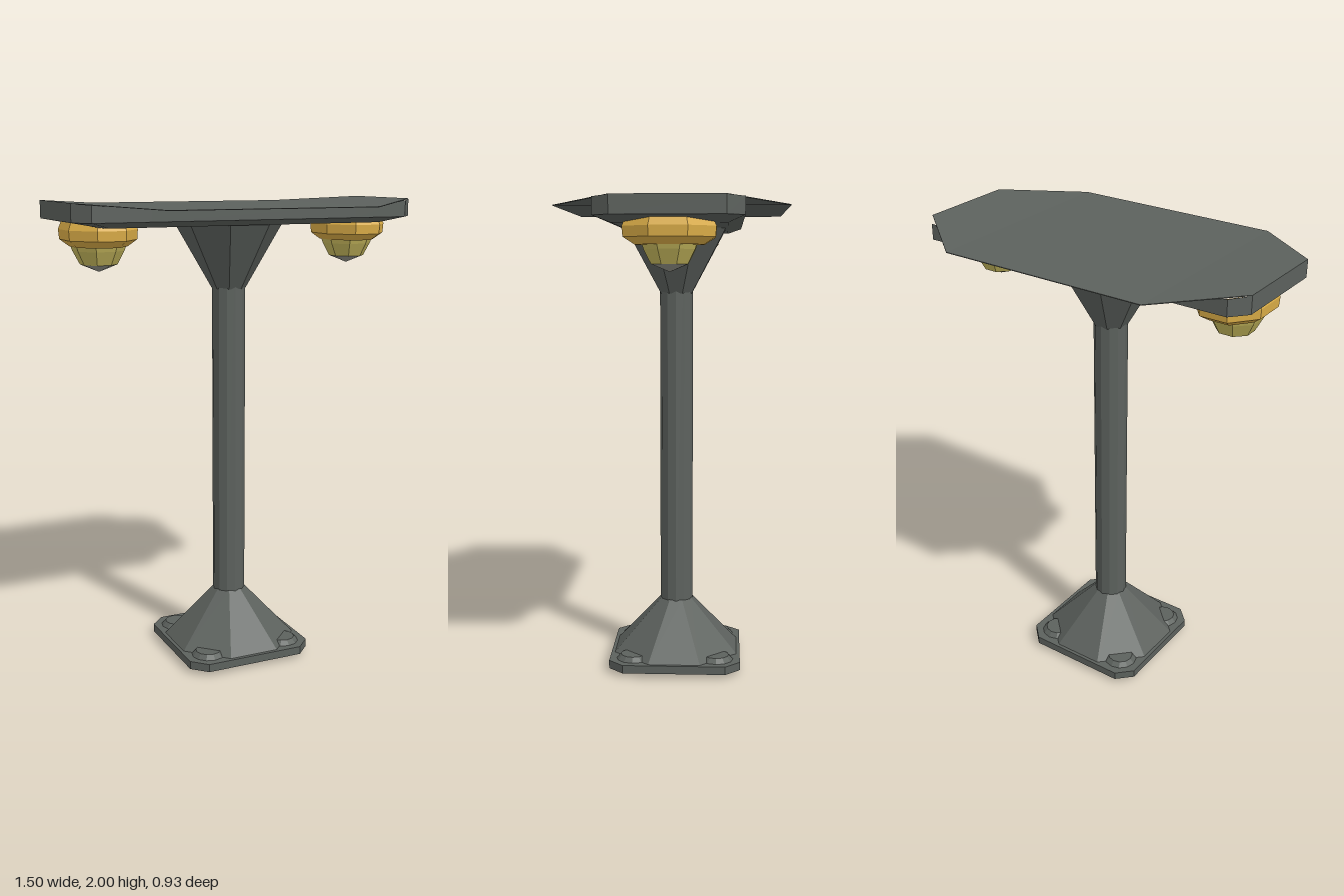
import * as THREE from 'three';

const flat = (color, name, side = THREE.FrontSide) =>
  Object.assign(new THREE.MeshStandardMaterial({ color, flatShading: true, side }), { name });

// Mirrors one quadrant of [x, y, z] points (from the x side to the z side) into a full ring
function ring(quad) {
  const back = [...quad].reverse();
  return [
    ...quad,
    ...back.map(([x, y, z]) => [-x, y, z]),
    ...quad.map(([x, y, z]) => [-x, y, -z]),
    ...back.map(([x, y, z]) => [x, y, -z]),
  ];
}

// Skins a stack of rings from bottom to top, with optional flat caps
function loft(rings, { bottom = false, top = false } = {}) {
  const n = rings[0].length, index = [];
  for (let r = 0; r < rings.length - 1; r++) {
    for (let i = 0; i < n; i++) {
      const j = (i + 1) % n, a = r * n + i, b = r * n + j;
      index.push(a, a + n, b, b, a + n, b + n);
    }
  }
  const last = (rings.length - 1) * n;
  for (let i = 1; i < n - 1; i++) {
    if (bottom) index.push(0, i, i + 1);
    if (top) index.push(last, last + i + 1, last + i);
  }
  const g = new THREE.BufferGeometry();
  g.setAttribute('position', new THREE.Float32BufferAttribute(rings.flat(2), 3));
  g.setIndex(index);
  g.computeVertexNormals();
  return g;
}

// Eight-sided frustum with a flat side facing front; sizes are centre-to-flat
function octagon(rTop, rBottom, y0, y1, open = true) {
  const k = 1 / Math.cos(Math.PI / 8);
  return new THREE.CylinderGeometry(rTop * k, rBottom * k, y1 - y0, 8, 1, open, Math.PI / 8)
    .translate(0, (y0 + y1) / 2, 0);
}

export function createModel() {
  const metal = flat(0x5c615d, 'grey metal');
  const sheetMetal = metal;
  const underside = flat(0x666d80, 'blue grey underside');
  const brass = flat(0xdcae48, 'yellow housing');
  const glass = flat(0xc4b65c, 'pale yellow glass');
  const tipGrey = flat(0x94948a, 'grey lamp tip');

  const model = new THREE.Group();
  model.name = 'doubleLampPost';
  const add = (name, geometry, material, parent = model) => {
    const m = new THREE.Mesh(geometry, material);
    m.name = name;
    parent.add(m);
    return m;
  };

  // Base plate: square with cut corners and a bevelled lower edge
  const square = (y, a, b) => ring([[a, y, b], [b, y, a]]);
  add('basePlate', loft([square(0, 0.225, 0.19), square(0.02, 0.283, 0.22), square(0.055, 0.283, 0.22)],
    { top: true }), metal);
  add('baseUnderside', loft([square(0, 0.225, 0.19)], { bottom: true }), underside);

  // Low round pads on the corners of the base
  for (const x of [-0.18, 0.18]) {
    for (const z of [-0.18, 0.18]) {
      add('cornerPad', new THREE.CylinderGeometry(0.055, 0.075, 0.022, 12).translate(x, 0.064, z), metal);
    }
  }

  // Foot, pole and flared head
  add('foot', octagon(0.066, 0.268, 0.055, 0.283), metal);
  add('pole', new THREE.CylinderGeometry(0.071, 0.071, 1.66, 12, 1, true).translate(0, 1.05, 0), metal);
  add('flaredHead', octagon(0.213, 0.066, 1.63, 1.908), metal);

  // Canopy body: long beam with cut corners, bevelled below, ends rising slightly
  const body = [
    ring([[0.62, 1.903, 0.17], [0.60, 1.903, 0.22], [0.45, 1.903, 0.22]]),
    ring([[0.75, 1.927, 0.215], [0.69, 1.927, 0.283], [0.45, 1.927, 0.283]]),
    ring([[0.75, 1.998, 0.215], [0.69, 1.994, 0.283], [0.45, 1.976, 0.283]]),
  ];
  add('canopyBody', loft(body, { bottom: true }), metal);

  // Canopy roof: thin wide sheet, flat in the middle and tilted up at both ends
  const sheet = (d) => ring([[0.75, 2 - d, 0.213], [0.45, 1.978 - d, 0.463]]);
  const roof = loft([sheet(0.003), sheet(0)]);
  const strips = [];
  // ring order: 0,1 right front; 2,3 left front; 4,5 left back; 6,7 right back
  for (const [a, b, c, d] of [[0, 7, 6, 1], [1, 6, 5, 2], [2, 5, 4, 3]]) {
    strips.push(a + 8, b + 8, c + 8, a + 8, c + 8, d + 8); // top
    strips.push(a, c, b, a, d, c); // underside
  }
  roof.setIndex([...roof.index.array, ...strips]);
  roof.computeVertexNormals();
  add('canopyRoof', roof, sheetMetal);

  // Lamps hanging under both ends
  for (const side of [1, -1]) {
    const lamp = new THREE.Group();
    lamp.name = side > 0 ? 'leftLamp' : 'rightLamp';
    lamp.position.x = side * 0.575;
    model.add(lamp);

    // Housing, wider from front to back than from side to side
    const bands = [[0.13, 1.925], [0.143, 1.89], [0.14, 1.85], [0.105, 1.822]];
    const housing = new THREE.Group();
    housing.name = 'lampHousing';
    housing.scale.z = 1.24;
    lamp.add(housing);
    for (let i = 0; i < 3; i++) {
      add('housingBand', octagon(bands[i][0], bands[i + 1][0], bands[i + 1][1], bands[i][1]), brass, housing);
    }
    add('housingFloor', octagon(0.105, 0.105, 1.822, 1.824, false), brass, housing);

    // Faceted glass with a grey pointed tip
    add('lampGlass', octagon(0.103, 0.097, 1.805, 1.823), glass, lamp);
    add('lampGlassTaper', octagon(0.097, 0.07, 1.75, 1.805), glass, lamp);
    add('lampTip', octagon(0.07, 0.0, 1.72, 1.75), tipGrey, lamp);
  }
  return model;
}
